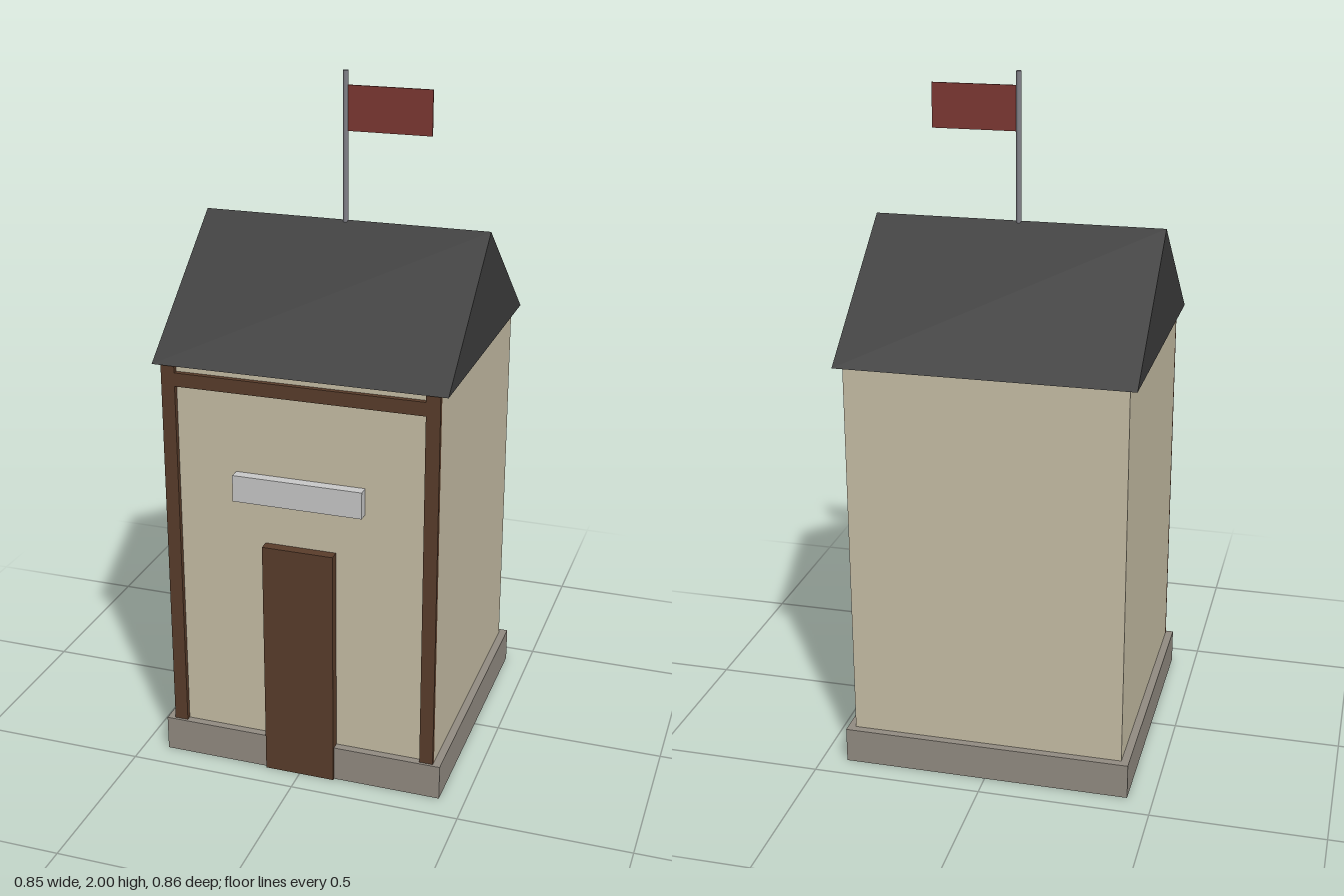
import * as THREE from 'three';

const material = (name, color) => {
  const m = new THREE.MeshStandardMaterial({ color });
  m.name = name;
  return m;
};

export function createModel() {
  const wall = material('cream plaster', 0xc8bfa6);
  const stone = material('grey stone', 0x938c82);
  const wood = material('brown wood', 0x5a3d2b);
  const slate = material('dark slate', 0x3d3d3d);
  const plate = material('pale grey', 0xcacaca);
  const metal = material('pole metal', 0x83838a);
  const cloth = material('red cloth', 0x7d3833);

  const model = new THREE.Group();
  model.name = 'guardHouse';
  const cz = -0.004; // building centre; the door and sign reach further forward

  const add = (name, geometry, mat) => {
    const mesh = new THREE.Mesh(geometry, mat);
    mesh.name = name;
    model.add(mesh);
    return mesh;
  };
  // Box given by its limits on each axis
  const box = (name, mat, [x0, x1], [y0, y1], [z0, z1]) => {
    const mesh = add(name, new THREE.BoxGeometry(x1 - x0, y1 - y0, z1 - z0), mat);
    mesh.position.set((x0 + x1) / 2, (y0 + y1) / 2, (z0 + z1) / 2);
    return mesh;
  };

  // Plinth and walls
  box('plinth', stone, [-0.425, 0.425], [0, 0.105], [cz - 0.425, cz + 0.425]);
  const front = cz + 0.402;
  box('walls', wall, [-0.402, 0.402], [0.1, 1.238], [cz - 0.402, front]);

  // Timber frame on the front
  for (const [name, side] of [['leftPost', 1], ['rightPost', -1]]) {
    const x = side * 0.382;
    box(name, wood, [x - 0.02, x + 0.02], [0.1, 1.238], [front, front + 0.015]);
  }
  box('crossBeam', wood, [-0.362, 0.362], [1.175, 1.215], [front, front + 0.015]);

  // Door and blank sign board
  box('door', wood, [-0.105, 0.105], [0, 0.727], [front - 0.01, 0.429]);
  box('signBoard', plate, [-0.19, 0.19], [0.857, 0.936], [front - 0.005, 0.429]);

  // Gable roof: triangle extruded along x
  const gable = new THREE.Shape([
    new THREE.Vector2(-0.425, 1.237),
    new THREE.Vector2(0.425, 1.237),
    new THREE.Vector2(0, 1.577),
  ]);
  const roofGeometry = new THREE.ExtrudeGeometry(gable, { depth: 0.85, bevelEnabled: false });
  roofGeometry.translate(0, 0, -0.425).rotateY(Math.PI / 2).translate(0, 0, cz);
  add('roof', roofGeometry, slate);

  // Flagpole and flag
  const pole = add('flagpole', new THREE.CylinderGeometry(0.008, 0.008, 0.44, 8), metal);
  pole.position.set(0, 1.78, cz);
  box('flag', cloth, [0.004, 0.252], [1.832, 1.96], [cz - 0.0025, cz + 0.0025]);

  return model;
}
